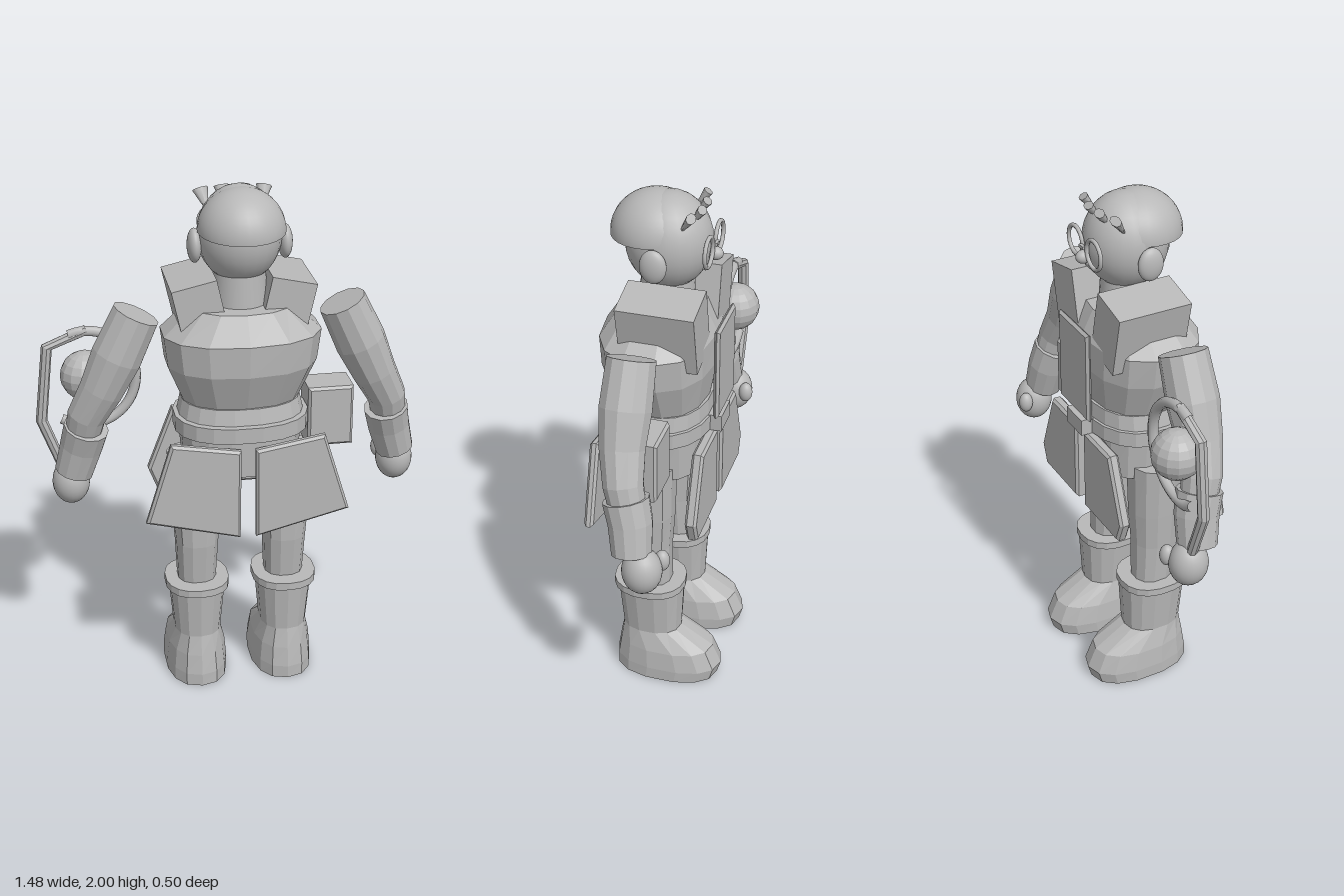
import * as THREE from 'three';

const V = (x, y, z) => new THREE.Vector3(x, y, z);

// Flat-shaded copy of a geometry
function facet(geo) {
  const g = geo.index ? geo.toNonIndexed() : geo;
  g.computeVertexNormals();
  return g;
}

// Closed, faceted skin over a stack of rings
function skin(rings) {
  const pos = [], n = rings[0].length;
  const tri = (...p) => p.forEach(v => pos.push(v.x, v.y, v.z));
  for (let k = 0; k < rings.length - 1; k++) {
    const a = rings[k], b = rings[k + 1];
    for (let i = 0; i < n; i++) {
      const j = (i + 1) % n;
      tri(a[i], a[j], b[j]);
      tri(a[i], b[j], b[i]);
    }
  }
  const lo = rings[0], hi = rings[rings.length - 1];
  for (let i = 1; i < n - 1; i++) {
    tri(lo[0], lo[i + 1], lo[i]);
    tri(hi[0], hi[i], hi[i + 1]);
  }
  const g = new THREE.BufferGeometry();
  g.setAttribute('position', new THREE.Float32BufferAttribute(pos, 3));
  g.computeVertexNormals();
  return g;
}

// Upright loft; each row is [y, half width, back z, front z], from the bottom up
function loft(rows, n = 14, p = 0.85) {
  const pw = c => Math.sign(c) * Math.abs(c) ** p;
  return skin(rows.map(([y, w, zb, zf]) => Array.from({ length: n }, (_, i) => {
    const a = (i + 0.5) / n * Math.PI * 2;
    return V(w * pw(Math.cos(a)), y, (zb + zf) / 2 - (zb - zf) / 2 * pw(Math.sin(a)));
  })));
}

// Limb along a path; each row is [x, y, z, radius], from the bottom up
function limb(rows, s, n = 12) {
  const pts = rows.map(([x, y, z]) => V(x * s, y, z));
  return skin(pts.map((c, k) => {
    const t = pts[Math.min(k + 1, pts.length - 1)].clone().sub(pts[Math.max(k - 1, 0)]).normalize();
    const v = V(0, 0, -1).addScaledVector(t, t.z).normalize();
    const u = v.clone().cross(t);
    return Array.from({ length: n }, (_, i) => {
      const a = i / n * Math.PI * 2;
      return c.clone().addScaledVector(u, Math.cos(a) * rows[k][3]).addScaledVector(v, Math.sin(a) * rows[k][3]);
    });
  }));
}

// Bevelled plate from an outline, mirrored by s
function plate(outline, s, depth = 0.016) {
  const shape = new THREE.Shape(outline.map(([x, y]) => new THREE.Vector2(x * s, y)));
  return facet(new THREE.ExtrudeGeometry(shape, {
    depth, bevelEnabled: true, bevelThickness: 0.01, bevelSize: 0.01, bevelOffset: -0.01, bevelSegments: 1,
  }));
}

export function createModel() {
  const root = new THREE.Group();
  const body = new THREE.Group();
  body.name = 'figure';
  body.position.x = 0.025;
  root.add(body);
  const grey = new THREE.MeshStandardMaterial({ color: 0xb8b8b8 });
  grey.name = 'clay grey';

  const add = (name, geo, x = 0, y = 0, z = 0, rx = 0, ry = 0, rz = 0) => {
    const m = new THREE.Mesh(geo, grey);
    m.name = name;
    m.position.set(x, y, z);
    m.rotation.set(rx, ry, rz);
    body.add(m);
    return m;
  };
  const ball = (name, x, y, z, a, b, c) =>
    add(name, new THREE.SphereGeometry(1, 24, 16), x, y, z).scale.set(a, b, c);

  // Torso, belt and hips
  add('torso', loft([
    [1.19, 0.22, 0.19, -0.14], [1.345, 0.285, 0.25, -0.17],
    [1.465, 0.3, 0.255, -0.17], [1.565, 0.19, 0.19, -0.12],
  ]));
  add('waist', loft([[1.13, 0.24, 0.215, -0.155], [1.2, 0.225, 0.2, -0.15]], 20));
  add('belt', loft([[1.08, 0.255, 0.24, -0.165], [1.14, 0.255, 0.24, -0.165]], 20));
  add('hips', loft([[0.92, 0.22, 0.195, -0.145], [1.09, 0.235, 0.2, -0.15]], 16));
  add('chestPanel', plate([[-0.115, 1.165], [0.115, 1.165], [0.115, 1.53], [-0.115, 1.53]], 1, 0.002), 0, 0, -0.196);
  add('buckle', new THREE.BoxGeometry(0.12, 0.065, 0.05), 0, 1.11, -0.18);

  // Head
  add('neck', new THREE.CylinderGeometry(0.095, 0.11, 0.2, 24), 0, 1.6, 0.02);
  ball('head', 0, 1.82, 0.015, 0.156, 0.18, 0.16);
  const cap = new THREE.Group();
  cap.name = 'hairCap';
  cap.position.set(0, 1.845, 0.06);
  cap.rotation.x = 0.06;
  cap.scale.set(0.161, 0.155, 0.167);
  const dome = new THREE.Mesh(new THREE.SphereGeometry(1, 28, 12, 0, Math.PI * 2, 0, Math.PI / 2), grey);
  const rim = new THREE.Mesh(new THREE.CircleGeometry(1, 28), grey);
  dome.name = 'hairDome';
  rim.name = 'hairRim';
  rim.rotation.x = Math.PI / 2;
  cap.add(dome, rim);
  body.add(cap);
  ball('nose', 0, 1.785, -0.155, 0.025, 0.025, 0.03);
  add('mouth', new THREE.BoxGeometry(0.075, 0.008, 0.012), 0, 1.735, -0.125);
  add('glassesBridge', new THREE.BoxGeometry(0.03, 0.012, 0.012), 0, 1.825, -0.16);
  [-0.115, -0.04, 0.03, 0.1].forEach((x, i) => {
    const lock = add('forelock', new THREE.ConeGeometry(0.03, 0.1, 8), x, 1.92, -0.065 - 0.03 * (1 - Math.abs(x) / 0.115), Math.PI - 0.6, 0, (i - 1.5) * 0.15);
    lock.scale.z = 0.6;
  });

  for (const s of [-1, 1]) {
    ball('ear', 0.167 * s, 1.785, 0.025, 0.027, 0.064, 0.05);
    add('glassesRing', new THREE.TorusGeometry(0.054, 0.008, 8, 28), 0.07 * s, 1.82, -0.15);

    // Shoulder pads
    add('shoulderPad', facet(new THREE.BoxGeometry(0.17, 0.25, 0.29)), 0.158 * s, 1.545, -0.008, 0, 0, -0.22 * s);

    // Arms
    add('arm', limb([
      [0.6, 1.02, -0.02, 0.065], [0.577, 1.14, 0.01, 0.074], [0.52, 1.25, 0.03, 0.084],
      [0.46, 1.38, 0.035, 0.097], [0.385, 1.54, 0.035, 0.09],
    ], s));
    add('gauntlet', limb([
      [0.631, 0.89, -0.035, 0.074], [0.6, 1.0, -0.022, 0.082], [0.58, 1.085, 0, 0.086],
    ], s));
    ball('hand', 0.641 * s, 0.83, -0.075, 0.072, 0.09, 0.074);
    ball('thumb', 0.59 * s, 0.85, -0.135, 0.028, 0.042, 0.028);

    // Legs and boots
    const leg = add('leg', loft([
      [0.4, 0.074, 0.11, -0.045], [0.6, 0.084, 0.135, -0.045],
      [0.75, 0.096, 0.14, -0.055], [0.97, 0.11, 0.145, -0.06],
    ], 12));
    const cuff = add('bootCuff', loft([[0.405, 0.125, 0.18, -0.1], [0.435, 0.125, 0.18, -0.1]], 18));
    const boot = add('boot', loft([
      [0, 0.122, 0.178, -0.235], [0.05, 0.122, 0.178, -0.25], [0.13, 0.114, 0.165, -0.215],
      [0.21, 0.092, 0.148, -0.085], [0.41, 0.11, 0.165, -0.095],
    ], 14));
    for (const m of [leg, cuff, boot]) m.position.x = 0.173 * s;

    // Skirt flaps
    add('backFlap', plate([[0.027, 1.045], [0.29, 1.09], [0.387, 0.775], [0.03, 0.685]], s), 0, 0, 0.21);
    add('frontFlap', plate([[0.03, 1.075], [0.235, 1.075], [0.333, 0.82], [0.3, 0.735], [0.03, 0.735]], s, 0.025), 0, 0, -0.175);
  }

  // Hip pouch
  add('pouch', plate([[0.255, 0.975], [0.43, 0.975], [0.43, 1.215], [0.255, 1.215]], 1, 0.13), 0, 0, -0.055);

  // Hand-held hoop: round on the inner side, angular guard outside, ball in the middle
  const arc = Array.from({ length: 19 }, (_, i) => {
    const a = (110 - i * 13) * Math.PI / 180;
    return V(-0.565 + 0.185 * Math.cos(a), 1.25 + 0.19 * Math.sin(a), -0.08);
  });
  add('hoop', new THREE.TubeGeometry(new THREE.CatmullRomCurve3(arc), 48, 0.02, 8));
  add('hoopGuard', limb([
    [-0.665, 0.88, -0.08, 0.02], [-0.742, 1.09, -0.08, 0.022],
    [-0.71, 1.385, -0.08, 0.022], [-0.56, 1.445, -0.08, 0.02],
  ], 1, 8));
  add('hoopBall', facet(new THREE.SphereGeometry(0.095, 14, 10)), -0.57, 1.26, -0.09);

  return root;
}
